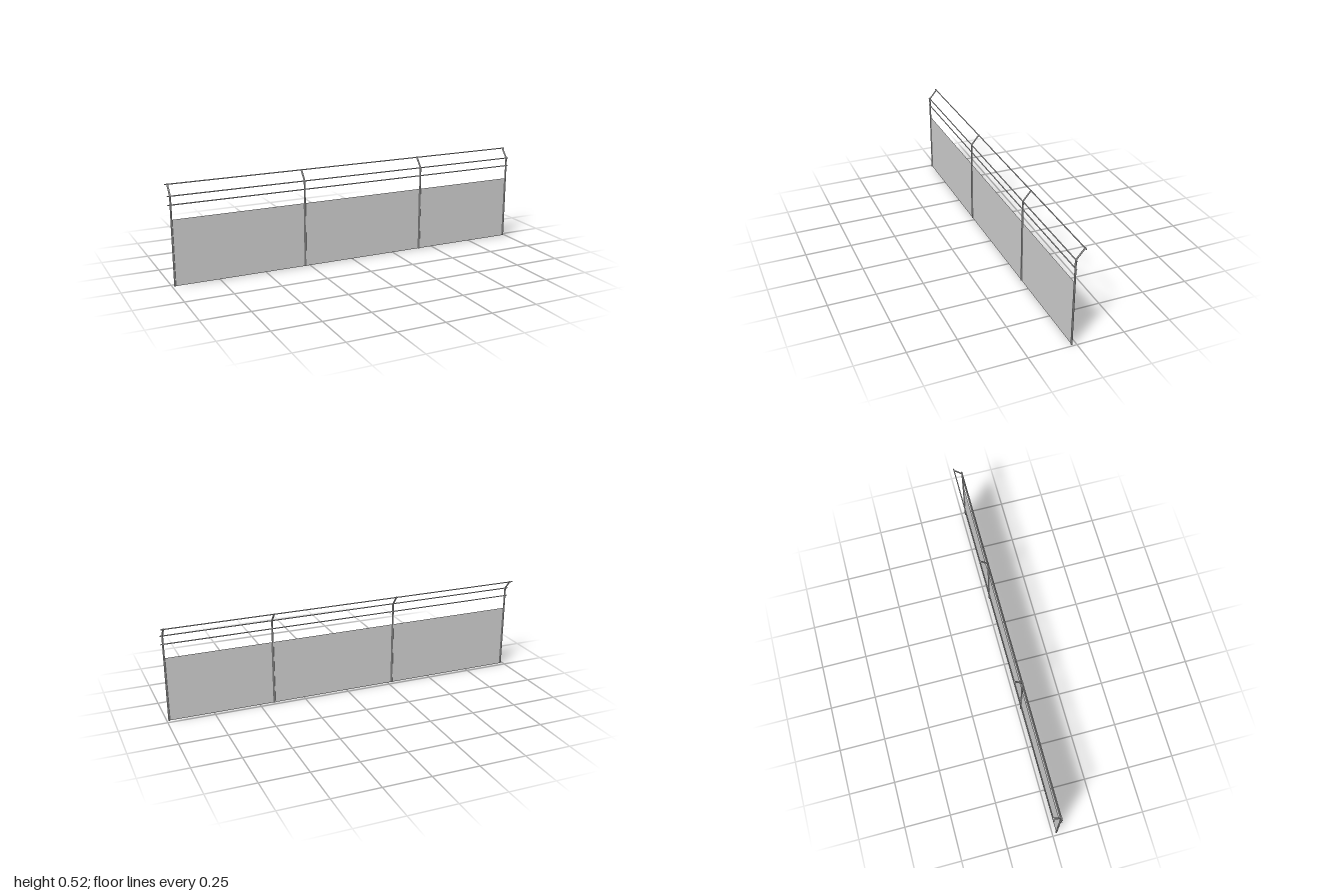
import * as THREE from 'three';

const FENCE_Z = 0.0225; // plane of posts and panel
const BEND_Y = 0.467; // height where posts lean back
const TOP_Y = 0.52;
const LEAN = 0.044; // how far the post tips sit behind the panel

export function createModel() {
  const model = new THREE.Group();
  const steel = new THREE.MeshStandardMaterial({ color: 0xcccccc, flatShading: true });
  const sheet = new THREE.MeshStandardMaterial({ color: 0xcccccc, side: THREE.DoubleSide });
  const add = (name, geometry, material, x, y, z) => {
    const mesh = new THREE.Mesh(geometry, material);
    mesh.name = name;
    mesh.position.set(x, y, z);
    model.add(mesh);
  };

  // Post: three rings, the top one shifted back to form the cranked arm
  const post = new THREE.CylinderGeometry(0.0047, 0.0047, TOP_Y, 8, 2);
  post.rotateY(Math.PI / 8);
  post.translate(0, TOP_Y / 2, 0);
  const p = post.attributes.position;
  for (let i = 0; i < p.count; i++) {
    const y = p.getY(i);
    if (y > TOP_Y * 0.75) p.setZ(i, p.getZ(i) - LEAN);
    else if (y > TOP_Y * 0.25) p.setY(i, BEND_Y);
  }
  post.computeVertexNormals();

  const postXs = [-0.985, -0.275, 0.418, 0.988];
  postXs.forEach((x, i) => add(`post${i + 1}`, post, steel, x, 0, FENCE_Z));

  // Thin infill sheet running between the end posts
  const first = postXs[0], last = postXs[3], height = 0.347;
  add('panel', new THREE.PlaneGeometry(last - first, height), sheet,
    (first + last) / 2, height / 2, FENCE_Z);

  // Horizontal rails: two on the uprights, one along the arm tips
  const rail = new THREE.CylinderGeometry(0.003, 0.003, 2, 8);
  rail.rotateZ(Math.PI / 2);
  add('lowerRail', rail, steel, 0, 0.422, FENCE_Z);
  add('middleRail', rail, steel, 0, BEND_Y, FENCE_Z);
  add('topRail', rail, steel, 0, TOP_Y - 0.003, FENCE_Z - LEAN);

  return model;
}
